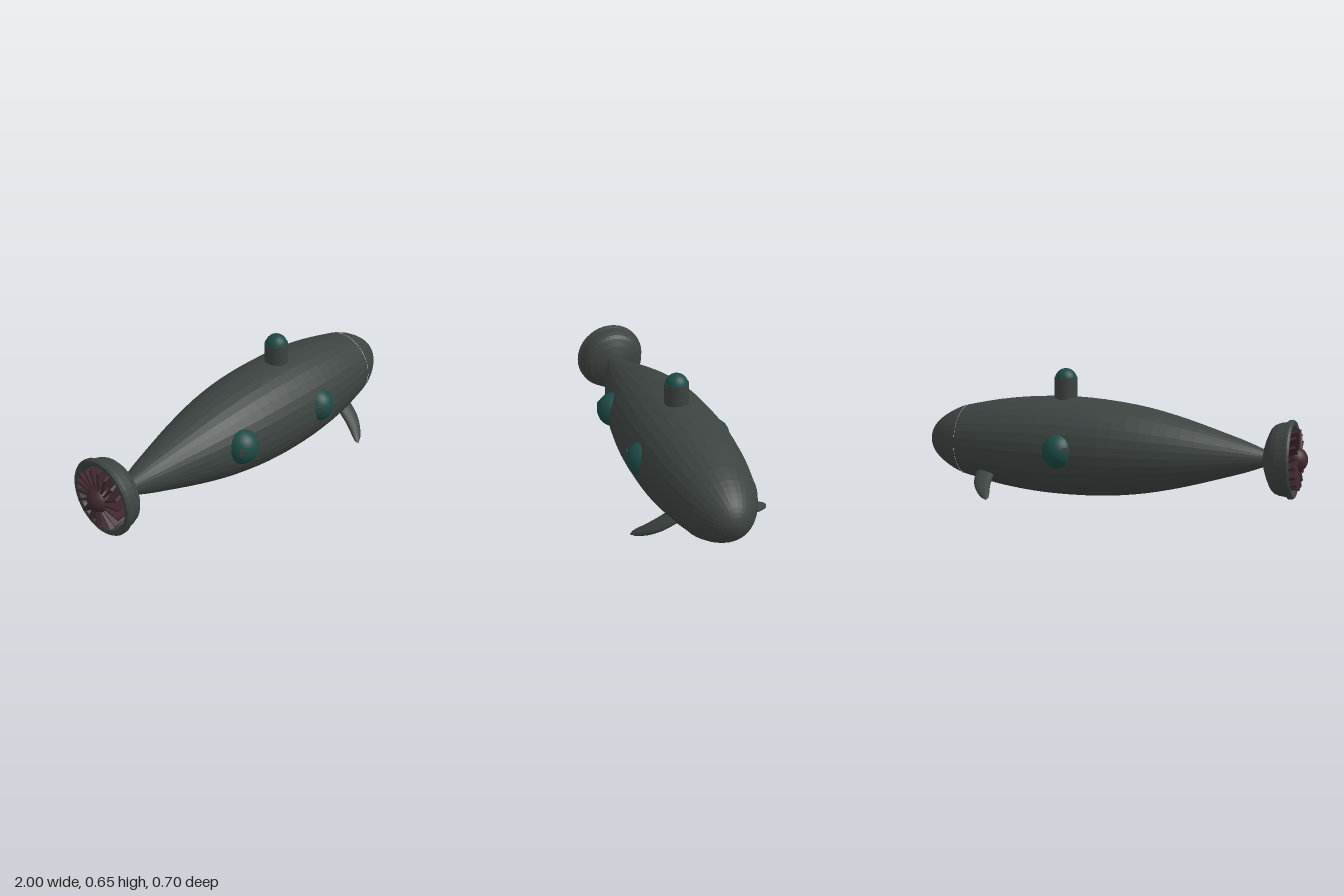
import * as THREE from 'three';

const HULL_Y = 0.255, HULL_Z = 0.012;
const steel = new THREE.MeshStandardMaterial({ color: 0x3c4341, flatShading: true });
const steelSmooth = new THREE.MeshStandardMaterial({ color: 0x3c4341 });
const glass = new THREE.MeshStandardMaterial({ color: 0x1d4a46 });
const maroon = new THREE.MeshStandardMaterial({ color: 0x40282f });
const plate = new THREE.MeshStandardMaterial({ color: 0x3c4341, side: THREE.DoubleSide });

// hull radius along x, tail to nose
const stations = [
  [-0.83, 0.03], [-0.79, 0.042], [-0.7, 0.076], [-0.6, 0.108], [-0.4, 0.168], [-0.2, 0.215],
  [0, 0.242], [0.2, 0.251], [0.4, 0.246], [0.6, 0.223], [0.79, 0.184],
];
const noseStations = [
  [0.79, 0.186], [0.85, 0.163], [0.9, 0.136], [0.94, 0.108], [0.965, 0.084], [0.985, 0.054], [0.996, 0.026], [1, 0],
];

export function createModel() {
  const model = new THREE.Group();

  const add = (name, geometry, material, parent = model) => {
    const mesh = new THREE.Mesh(geometry, material);
    mesh.name = name;
    parent.add(mesh);
    return mesh;
  };
  // lathe around the x axis; pairs are [x, radius]
  const turned = (pairs, segments = 32, start = 0, length = Math.PI * 2) =>
    new THREE.LatheGeometry(pairs.map(([x, r]) => new THREE.Vector2(r, x)), segments, start, length)
      .rotateZ(-Math.PI / 2);
  const smoothProfile = (pairs, n) =>
    new THREE.SplineCurve(pairs.map(([x, r]) => new THREE.Vector2(x, r)))
      .getPoints(n).map(p => [p.x, Math.max(0, p.y)]);

  // hull and nose cone
  const profile = smoothProfile(stations, 30);
  add('hull', turned(profile), steel).position.set(0, HULL_Y, HULL_Z);
  add('noseCone', turned(smoothProfile(noseStations, 12)), steel).position.set(0, HULL_Y, HULL_Z);

  // thin raised deck plate around the tower
  const deck = [];
  for (let x = 0.03; x < 0.36; x += 0.08) deck.push([x, 0.253 - 0.22 * (x - 0.22) ** 2]);
  add('deckPlate', turned(deck, 8, Math.PI * 1.5 - 0.22, 0.62), plate).position.set(0, HULL_Y, HULL_Z);

  // periscope tower with glass dome
  add('tower', new THREE.CylinderGeometry(0.059, 0.059, 0.16, 32), steelSmooth).position.set(0.238, 0.528, HULL_Z);
  add('towerDome', new THREE.SphereGeometry(0.056, 32, 16), glass).position.set(0.238, 0.597, HULL_Z);

  // bulging portholes
  for (const [x, y, z, side] of [[-0.212, 0.284, 0.19, 1], [0.335, 0.284, 0.21, 1], [0.2, 0.266, -0.192, -1]]) {
    const port = add('porthole', new THREE.SphereGeometry(1, 32, 20), glass);
    port.scale.set(0.083, 0.09, 0.088);
    port.position.set(x, y, z);
    const latch = add('portholeLatch', new THREE.BoxGeometry(0.03, 0.03, 0.012), steelSmooth);
    latch.position.set(x - 0.055, y + 0.014, z + side * 0.063);
    latch.rotation.y = -side * 0.7;
  }

  // swept fins: lens sections shrinking from root to tip
  const finGeometry = (root, tip) => {
    const rings = 10, sides = 16, pos = [], index = [];
    const along = tip.clone().sub(root);
    const chord = new THREE.Vector3(1, 0, 0);
    const thick = new THREE.Vector3(0, along.z, -along.y).normalize();
    if (thick.y < 0) thick.negate();
    for (let i = 0; i <= rings; i++) {
      const t = i / rings;
      const w = Math.sqrt(1 - t ** 2.2);
      // leading edge bows forward
      const c = root.clone().addScaledVector(along, t).addScaledVector(chord, 0.02 * Math.sin(Math.PI * t));
      for (let j = 0; j < sides; j++) {
        const a = j / sides * Math.PI * 2;
        const p = c.clone()
          .addScaledVector(chord, 0.05 * w * Math.cos(a))
          .addScaledVector(thick, 0.022 * w * Math.sin(a));
        pos.push(p.x, p.y, p.z);
        if (i < rings) {
          const k = i * sides + j, n = i * sides + (j + 1) % sides;
          if (along.z > 0) index.push(k, n, k + sides, n, n + sides, k + sides);
          else index.push(k, k + sides, n, n, k + sides, n + sides);
        }
      }
    }
    const g = new THREE.BufferGeometry();
    g.setAttribute('position', new THREE.Float32BufferAttribute(pos, 3));
    g.setIndex(index);
    g.computeVertexNormals();
    return g;
  };
  add('leftFin', finGeometry(new THREE.Vector3(0.625, 0.125, 0.165), new THREE.Vector3(0.53, 0.006, 0.35)), plate);
  add('rightFin', finGeometry(new THREE.Vector3(0.625, 0.12, -0.14), new THREE.Vector3(0.53, 0.026, -0.348)), plate);

  // tail: bell shroud, hub and radial blades, slightly tilted
  const tail = new THREE.Group();
  tail.name = 'propulsor';
  tail.position.set(-0.9, 0.26, -0.006);
  tail.rotation.z = -0.04;
  model.add(tail);
  add('shroud', turned([
    [0.02, 0], [0.015, 0.145], [-0.035, 0.163], [-0.038, 0.184], [-0.028, 0.191], [-0.012, 0.19], [-0.008, 0.181],
    [0.03, 0.175], [0.055, 0.165], [0.07, 0.148], [0.088, 0.11], [0.102, 0.07], [0.112, 0.03], [0.112, 0],
  ], 40), steel, tail);
  add('hub', new THREE.SphereGeometry(0.064, 32, 16), maroon, tail).position.x = -0.036;
  const count = 18;
  for (let i = 0; i < count; i++) {
    const spoke = new THREE.Group();
    spoke.name = 'bladeSpoke';
    spoke.rotation.x = i / count * Math.PI * 2;
    tail.add(spoke);
    const blade = add('blade', new THREE.BoxGeometry(0.075, 0.105, 0.012), maroon, spoke);
    blade.position.set(-0.024, 0.095, 0);
    blade.rotation.y = 0.35;
  }

  return model;
}
